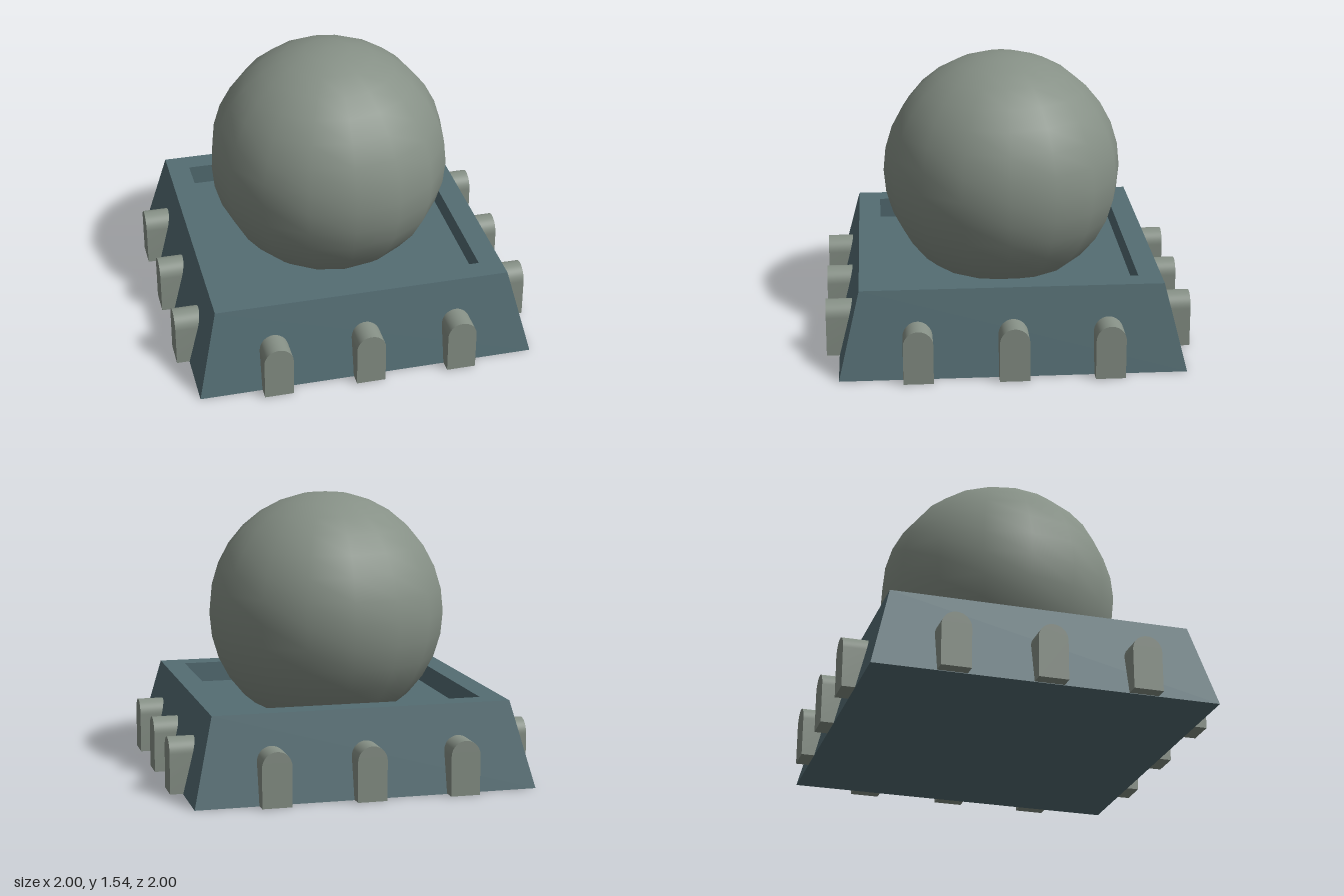
import * as THREE from 'three';
import { toCreasedNormals } from 'three/addons/utils/BufferGeometryUtils.js';

const slate = new THREE.MeshStandardMaterial({ color: 0x546d73 });
slate.name = 'slate blue';
const stone = new THREE.MeshStandardMaterial({ color: 0x869086 });
stone.name = 'stone grey';

// Square sloped plinth with a sunken tray: a four-sided lathe, flat faced
function plinthGeometry() {
  const profile = [[0, 0], [0.93, 0], [0.815, 0.465], [0.69, 0.465], [0.69, 0.35], [0, 0.35]]
    .map(([half, y]) => new THREE.Vector2(half * Math.SQRT2, y));
  const flat = new THREE.LatheGeometry(profile, 4, Math.PI / 4).toNonIndexed();
  flat.computeVertexNormals();
  return flat;
}

// Round-topped block running from inside the wall out to z = 1
function buttressGeometry() {
  const r = 0.08, spring = 0.22, inner = 0.82;
  const arch = new THREE.Shape();
  arch.moveTo(-r, 0.003);
  arch.lineTo(r, 0.003);
  arch.lineTo(r, spring);
  arch.absarc(0, spring, r, 0, Math.PI, false);
  arch.closePath();
  const g = new THREE.ExtrudeGeometry(arch, { depth: 1 - inner, bevelEnabled: false, curveSegments: 12 });
  g.translate(0, 0, inner);
  return toCreasedNormals(g, 0.6);
}

export function createModel() {
  const model = new THREE.Group();
  model.name = 'ballOnPlinth';

  const plinth = new THREE.Mesh(plinthGeometry(), slate);
  plinth.name = 'plinth';
  model.add(plinth);

  // Ball resting in the tray
  const ball = new THREE.Mesh(new THREE.SphereGeometry(0.667, 16, 16), stone);
  ball.name = 'ball';
  ball.position.y = 0.873;
  model.add(ball);

  // Three buttresses on each of the four sides
  const buttress = buttressGeometry();
  ['front', 'left', 'back', 'right'].forEach((side, i) => {
    const row = new THREE.Group();
    row.name = side + 'Buttresses';
    row.rotation.y = i * Math.PI / 2;
    for (const x of [-0.51, 0, 0.51]) {
      const block = new THREE.Mesh(buttress, stone);
      block.name = 'buttress';
      block.position.x = x;
      row.add(block);
    }
    model.add(row);
  });

  return model;
}
